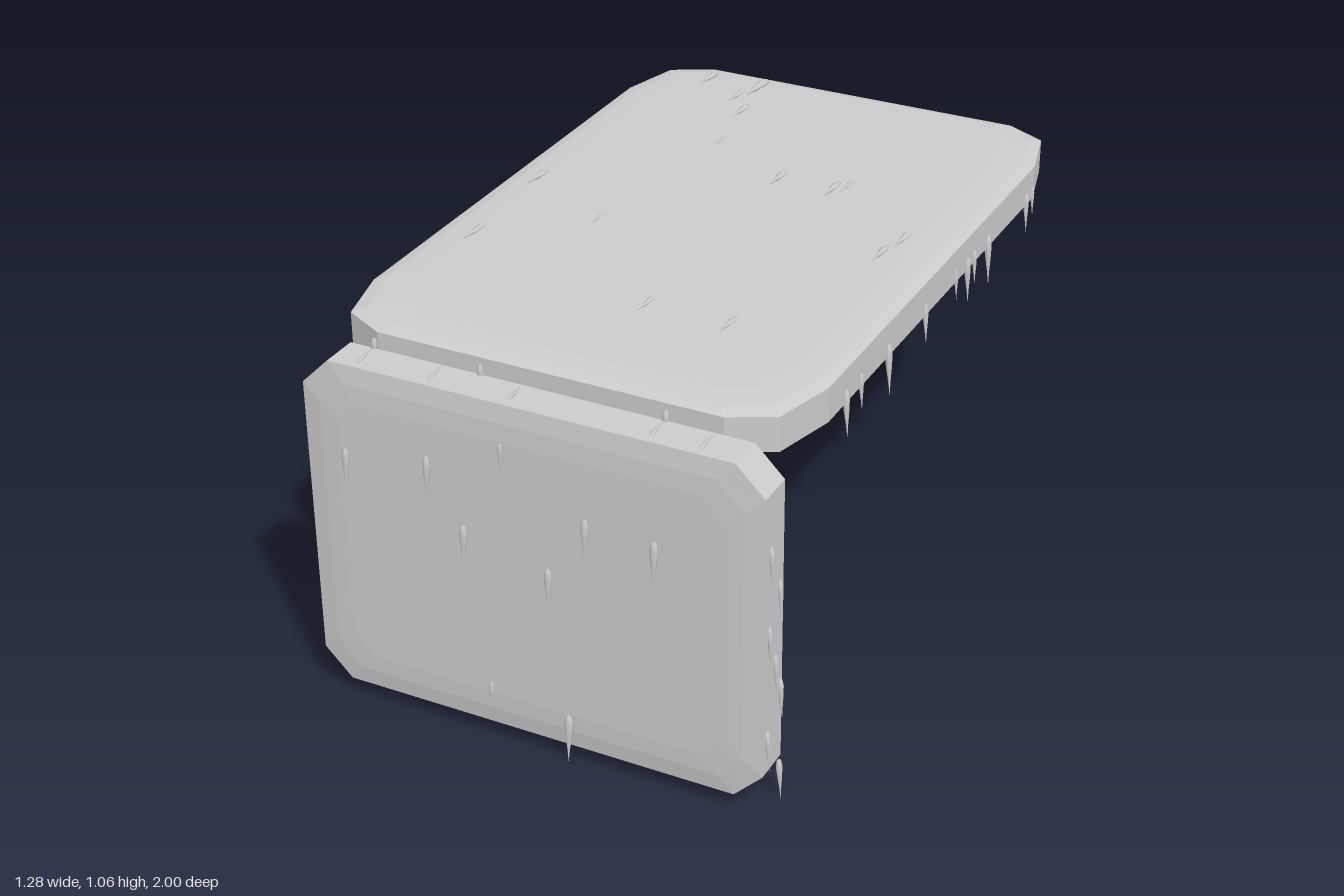
import * as THREE from 'three';
import { mergeVertices } from 'three/addons/utils/BufferGeometryUtils.js';

const material = new THREE.MeshStandardMaterial({ color: 0xcccccc, flatShading: true });
const dripMaterial = new THREE.MeshStandardMaterial({ color: 0xcccccc, side: THREE.DoubleSide });

// Mirror one quarter of an outline into a full counter-clockwise loop
function mirrorOutline(quarter) {
  const back = [...quarter].reverse();
  return [
    ...quarter,
    ...back.map(([x, y]) => [-x, y]),
    ...quarter.map(([x, y]) => [-x, -y]),
    ...back.map(([x, y]) => [x, -y]),
  ];
}

// Slab lying in the XY plane, stacked from inset loops: [inset, z]
function slabGeometry(quarter, layers) {
  const outline = mirrorOutline(quarter);
  const n = outline.length;
  const hw = Math.max(...quarter.map((p) => p[0]));
  const hh = Math.max(...quarter.map((p) => p[1]));
  const positions = [];
  const index = [];
  for (const [inset, z] of layers) {
    for (const [x, y] of outline) positions.push(x * (1 - inset / hw), y * (1 - inset / hh), z);
  }
  for (let l = 0; l < layers.length - 1; l++) {
    for (let i = 0; i < n; i++) {
      const a = l * n + i, b = l * n + ((i + 1) % n);
      index.push(a, b, b + n, a, b + n, a + n);
    }
  }
  const last = (layers.length - 1) * n;
  for (let i = 1; i < n - 1; i++) {
    index.push(0, i + 1, i);
    index.push(last, last + i, last + i + 1);
  }
  const geometry = new THREE.BufferGeometry();
  geometry.setAttribute('position', new THREE.Float32BufferAttribute(positions, 3));
  geometry.setIndex(index);
  geometry.computeVertexNormals();
  return geometry;
}

// Teardrop of unit length: rounded head at the origin, tip at -y
const dripGeometry = mergeVertices(new THREE.LatheGeometry(
  [[0, -1], [0.028, -0.72], [0.07, -0.42], [0.09, -0.2], [0.06, -0.05], [0, 0]]
    .map(([x, y]) => new THREE.Vector2(x, y)), 6));

const AXES = {
  px: [1, 0, 0], nx: [-1, 0, 0], py: [0, 1, 0], ny: [0, -1, 0], pz: [0, 0, 1], nz: [0, 0, -1],
};
const axis = (name) => new THREE.Vector3(...AXES[name]);

// Add a row of drips: each starts at a point and runs along a direction on a face
function addDrips(parent, name, facing, along, points) {
  const group = new THREE.Group();
  group.name = name;
  const normal = axis(facing);
  const up = axis(along).negate();
  const side = new THREE.Vector3().crossVectors(up, normal);
  const turn = new THREE.Matrix4().makeBasis(side, up, normal);
  for (const [x, y, z, length = 0.12] of points) {
    const drip = new THREE.Mesh(dripGeometry, dripMaterial);
    drip.name = 'drip';
    drip.setRotationFromMatrix(turn);
    // the tip leans slightly off the face
    drip.rotateX(-0.06);
    drip.scale.set(length, length, length * 0.8);
    drip.position.set(x, y, z);
    group.add(drip);
  }
  parent.add(group);
}

export function createModel() {
  const model = new THREE.Group();
  model.name = 'panels';

  // Horizontal slab with rounded corners
  const top = new THREE.Mesh(slabGeometry(
    [[0.63, 0.695], [0.585, 0.87], [0.47, 0.93]],
    [[0.1, -0.06], [0.03, -0.055], [0, -0.047], [0, 0.047], [0.03, 0.055], [0.1, 0.06]]), material);
  top.name = 'topSlab';
  top.rotation.x = -Math.PI / 2;
  top.position.set(0, 1, -0.06);
  model.add(top);

  // Upright slab with chamfered corners
  const front = new THREE.Mesh(slabGeometry(
    [[0.627, 0.393], [0.55, 0.47]],
    [[0.1, -0.063], [0.05, -0.06], [0, -0.052], [0, 0.052], [0.05, 0.06], [0.1, 0.063]]), material);
  front.name = 'frontSlab';
  front.position.set(0, 0.53, 0.922);
  model.add(front);

  // Drips on the upright slab
  addDrips(model, 'frontDrips', 'pz', 'ny', [
    [-0.51, 0.77], [-0.275, 0.81], [-0.065, 0.9, , 0.08], [-0.18, 0.64], [0.16, 0.75],
    [0.345, 0.74, , 0.13], [0.055, 0.58], [-0.12, 0.19, , 0.08], [0.1, 0.16, , 0.14],
  ].map(([x, y, , l]) => [x, y, 0.984, l]));
  addDrips(model, 'frontSlabRearDrips', 'nz', 'ny', [
    [-0.46, 0.72], [-0.3, 0.45], [-0.12, 0.66], [0.08, 0.38], [0.22, 0.78], [0.38, 0.56], [0.48, 0.3], [-0.4, 0.2],
  ].map(([x, y]) => [x, y, 0.86]));
  addDrips(model, 'frontSlabTopDrips', 'py', 'nz',
    [-0.48, -0.28, -0.06, 0.32, 0.45].map((x) => [x, 1, 0.95, 0.07]));
  addDrips(model, 'frontSlabBottomDrips', 'ny', 'nz',
    [-0.47, -0.43, -0.17, -0.09, 0.03, 0.14, 0.45, 0.51].map((x, i) => [x, 0.062, 0.9 + (i % 3) * 0.02, 0.11]));
  for (const [s, face] of [[1, 'px'], [-1, 'nx']]) {
    addDrips(model, s > 0 ? 'frontSlabLeftDrips' : 'frontSlabRightDrips', face, 'ny', [
      [0.78, 0.94], [0.66, 0.89], [0.56, 0.945], [0.46, 0.91], [0.37, 0.88], [0.26, 0.95], [0.13, 0.88],
    ].map(([y, z]) => [s * 0.627, y, z]));
  }

  // Drips on the faces of the horizontal slab
  addDrips(model, 'topDrips', 'py', 'pz', [
    [-0.44, -0.95], [-0.28, -0.96, 0.16], [-0.31, -0.87], [-0.25, -0.77], [-0.21, -0.54, 0.08], [0.04, -0.4],
    [0.2, -0.4], [0.23, -0.42, 0.09], [-0.55, -0.12], [0.47, -0.1], [0.49, -0.2], [-0.28, 0.05, 0.08],
    [-0.53, 0.25], [0.06, 0.42, 0.1], [0.29, 0.43, 0.1],
  ].map(([x, z, l]) => [x, 1.058, z, l]));
  addDrips(model, 'undersideDrips', 'ny', 'nz', [
    [-0.4, -0.5], [-0.1, -0.7], [0.3, -0.6], [0.1, -0.2], [-0.35, 0.05], [0.42, 0.1], [-0.1, 0.4], [0.3, 0.55],
  ].map(([x, z]) => [x, 0.942, z, 0.1]));

  // Drips hanging from the edges of the horizontal slab
  const length = (i) => 0.09 + ((i * 7) % 5) * 0.015;
  addDrips(model, 'topSlabLeftDrips', 'px', 'ny',
    [-0.75, -0.7, -0.41, -0.31, -0.26, -0.18, 0.03, 0.27, 0.44, 0.53]
      .map((z, i) => [0.628, 0.99, z, length(i)]));
  addDrips(model, 'topSlabRightDrips', 'nx', 'ny',
    [-0.71, -0.41, -0.31, -0.25, -0.15, 0.04, 0.17, 0.49, 0.54]
      .map((z, i) => [-0.628, 0.99, z, length(i + 1)]));
  addDrips(model, 'topSlabBackDrips', 'nz', 'ny',
    [-0.37, -0.27, -0.15, -0.08, 0, 0.08, 0.23, 0.31, 0.42]
      .map((x, i) => [x, 0.99, -0.989, length(i)]));
  addDrips(model, 'topSlabFrontDrips', 'pz', 'ny',
    [-0.48, -0.18, 0.32].map((x) => [x, 1.03, 0.87, 0.1]));

  return model;
}
